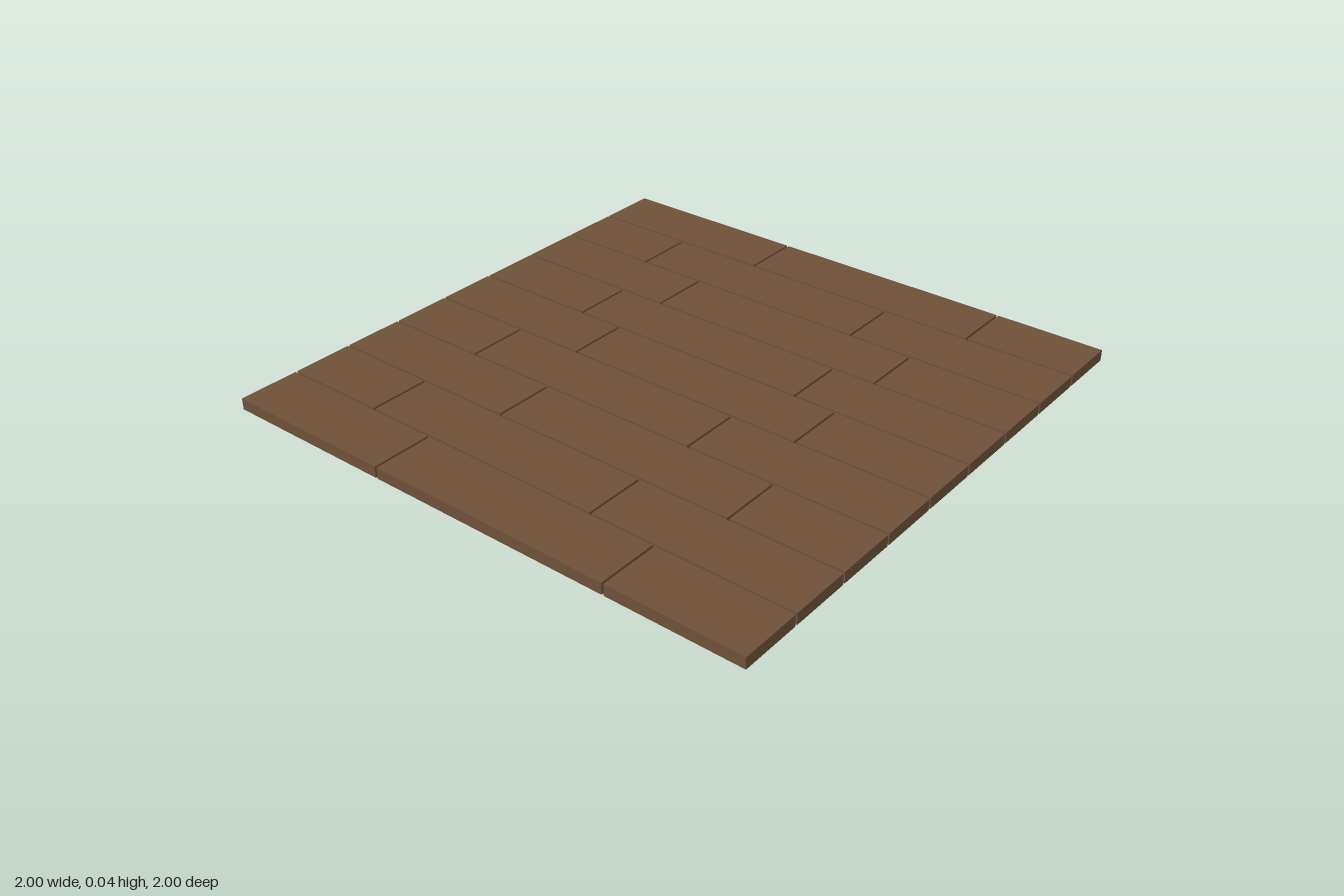
import * as THREE from 'three';

export function createModel() {
  const group = new THREE.Group();
  group.name = 'plankFloor';
  const wood = new THREE.MeshStandardMaterial({ color: 0x70523a });
  wood.name = 'brown wood';

  const height = 0.04, gap = 0.008, rows = 9;
  const depth = (2 - gap * (rows - 1)) / rows;

  // Centres of the two joints across a row, for each stagger pattern
  const joints = {
    a: [-0.29, 0.605],
    b: [-0.625, 0.283],
    c: [-0.371, 0.522],
    d: [-0.542, 0.365],
  };

  // Rows of three planks, from back to front
  [...'abcdcbabc'].forEach((pattern, row) => {
    const z = -1 + depth / 2 + row * (depth + gap);
    const cuts = [-1 - gap / 2, ...joints[pattern], 1 + gap / 2];
    for (let i = 0; i < 3; i++) {
      const x0 = cuts[i] + gap / 2, x1 = cuts[i + 1] - gap / 2;
      const plank = new THREE.Mesh(new THREE.BoxGeometry(x1 - x0, height, depth), wood);
      plank.position.set((x0 + x1) / 2, height / 2, z);
      plank.name = `plankRow${row + 1}Board${i + 1}`;
      group.add(plank);
    }
  });
  return group;
}
